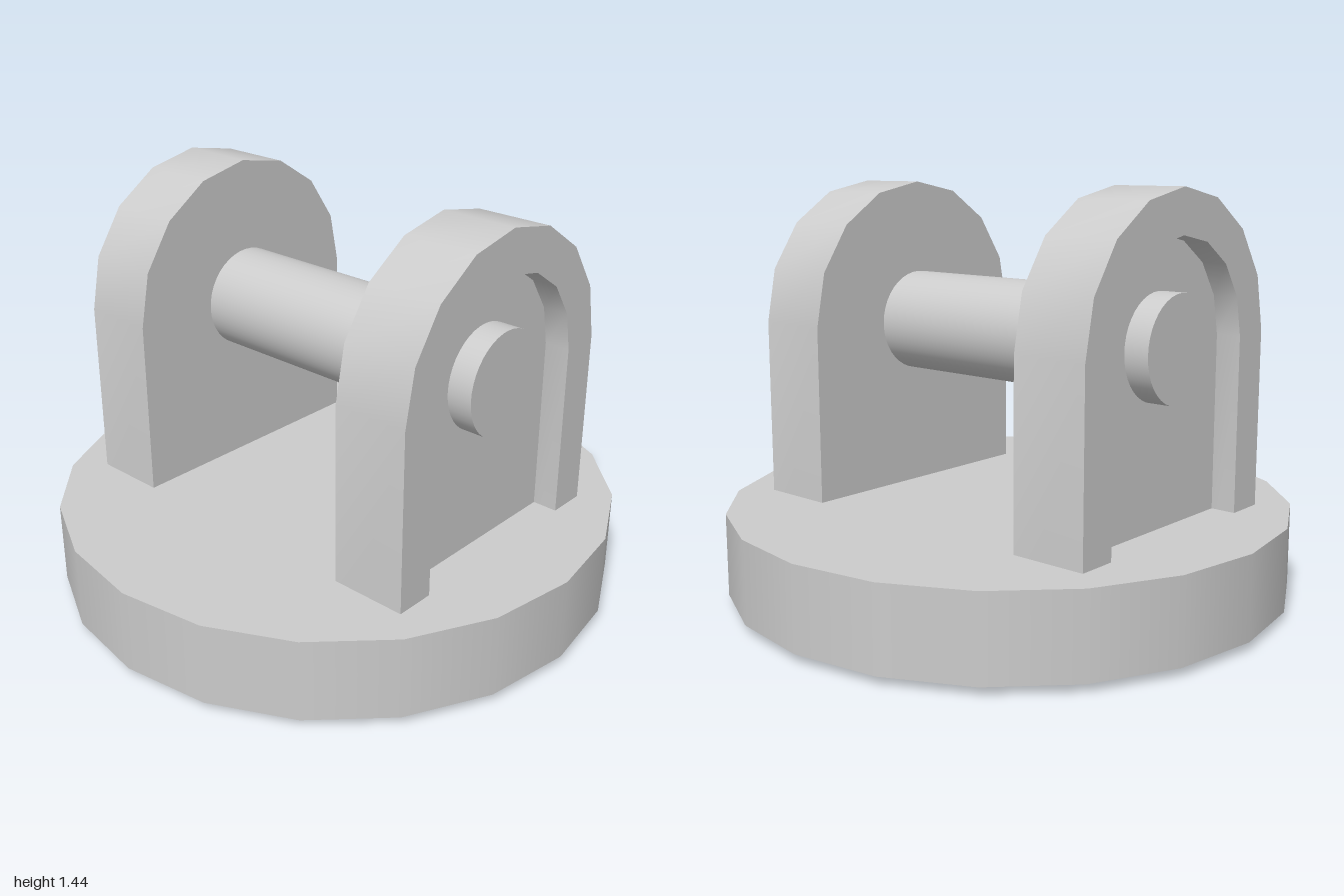
import * as THREE from 'three';
import { toCreasedNormals } from 'three/addons/utils/BufferGeometryUtils.js';

const material = new THREE.MeshStandardMaterial({ color: 0xcccccc });
const shellMaterial = new THREE.MeshStandardMaterial({ color: 0xcccccc, side: THREE.DoubleSide });

// Round-topped arch in the plane at x: straight legs and a half circle of 8 sides
function arch(x, radius, centerY, bottomY) {
  const row = [new THREE.Vector3(x, bottomY, radius)];
  for (let i = 0; i <= 8; i++) {
    const a = (i / 8) * Math.PI;
    row.push(new THREE.Vector3(x, centerY + radius * Math.sin(a), radius * Math.cos(a)));
  }
  row.push(new THREE.Vector3(x, bottomY, -radius));
  return row;
}

// A row collapsed to one point, used to close a face as a fan
const fanPoint = (x, y, n) => Array.from({ length: n }, () => new THREE.Vector3(x, y, 0));

// Skin between successive rows, leaving out collapsed triangles
function loft(rows) {
  const positions = [];
  const tri = (a, b, c) => {
    if (new THREE.Triangle(a, b, c).getArea() > 1e-6) {
      for (const p of [a, b, c]) positions.push(p.x, p.y, p.z);
    }
  };
  for (let i = 0; i < rows.length - 1; i++) {
    for (let j = 0; j < rows[i].length - 1; j++) {
      const a = rows[i][j], b = rows[i + 1][j];
      const c = rows[i + 1][j + 1], d = rows[i][j + 1];
      tri(a, b, c);
      tri(a, c, d);
    }
  }
  const geometry = new THREE.BufferGeometry();
  geometry.setAttribute('position', new THREE.Float32BufferAttribute(positions, 3));
  return toCreasedNormals(geometry, Math.PI / 6);
}

export function createModel() {
  const model = new THREE.Group();
  const add = (name, geometry, mat) => {
    const mesh = new THREE.Mesh(geometry, mat);
    mesh.name = name;
    model.add(mesh);
    return mesh;
  };

  // Base: a round cup, open underneath
  const wall = add('baseWall', new THREE.CylinderGeometry(1, 1, 0.29, 20, 1, true), shellMaterial);
  wall.position.y = 0.175;
  const plate = add('basePlate', new THREE.CircleGeometry(1, 20), shellMaterial);
  plate.rotation.x = -Math.PI / 2;
  plate.position.y = 0.32;

  // Brackets: hollow arches with a recessed outer face, open underneath
  const rows = [
    fanPoint(0.45, 0.015, 11),
    arch(0.45, 0.495, 0.945, 0.015),
    arch(0.72, 0.495, 0.945, 0.015),
    arch(0.72, 0.355, 0.935, 0),
    arch(0.63, 0.355, 0.935, 0),
    fanPoint(0.63, 0, 11),
  ];
  const bracket = loft(rows);
  add('leftBracket', bracket, shellMaterial);
  add('rightBracket', bracket, shellMaterial).rotation.y = Math.PI;

  // Pin through both brackets, ending level with their rims
  const pin = add('pin', new THREE.CylinderGeometry(0.181, 0.181, 1.438, 40), material);
  pin.rotation.z = Math.PI / 2;
  pin.position.y = 0.93;

  return model;
}
